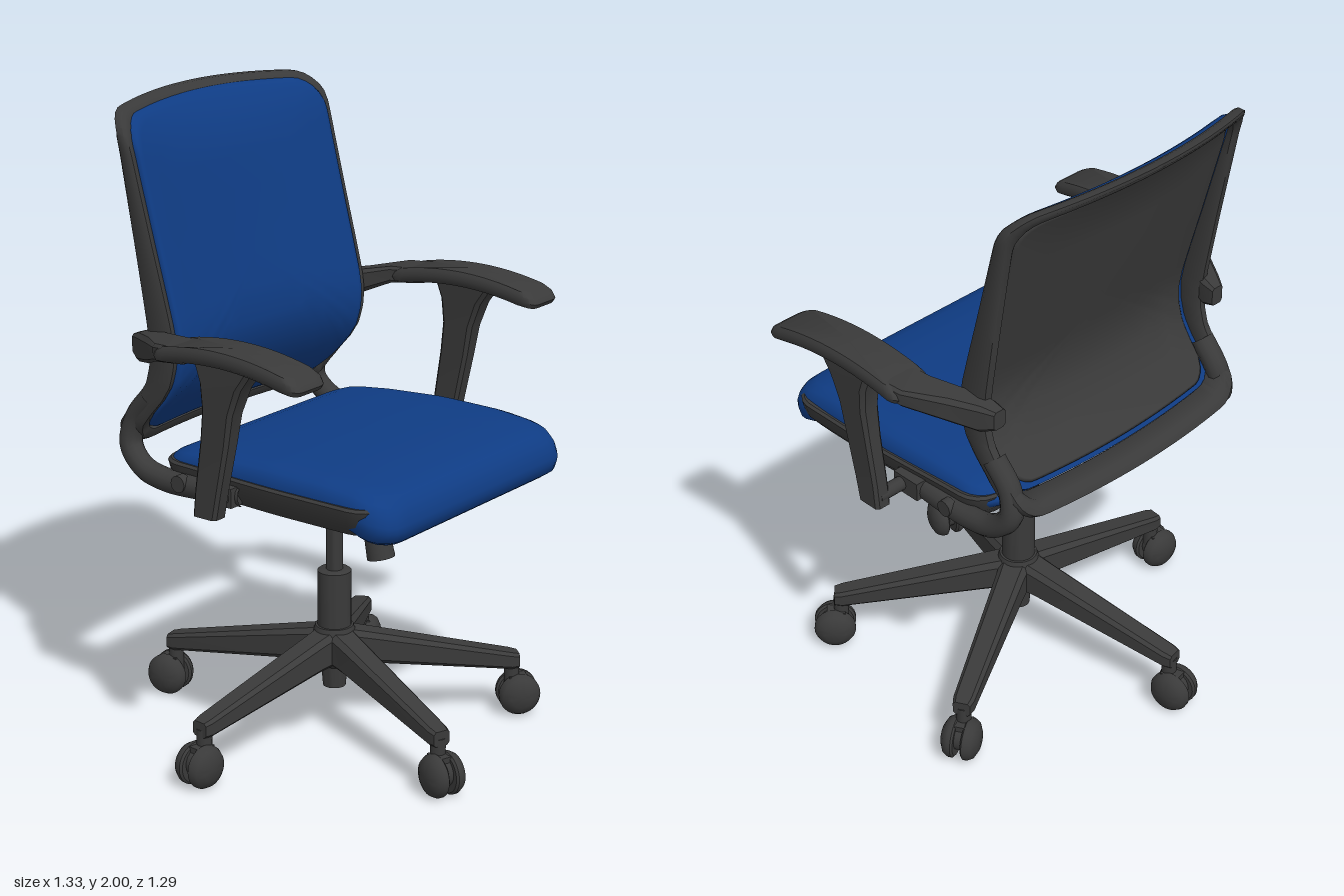
import * as THREE from 'three';
import { toCreasedNormals } from 'three/addons/utils/BufferGeometryUtils.js';

const V = (x, y, z) => new THREE.Vector3(x, y, z);
const { lerp, smoothstep } = THREE.MathUtils;

// Piecewise smooth function through [input, output] knots
function curve(knots) {
  return (t) => {
    if (t <= knots[0][0]) return knots[0][1];
    for (let i = 1; i < knots.length; i++) {
      const [a, va] = knots[i - 1], [b, vb] = knots[i];
      if (t <= b) return lerp(va, vb, (t - a) / (b - a));
    }
    return knots[knots.length - 1][1];
  };
}

// Surface through a stack of closed rings
function skin(rings, crease) {
  const n = rings[0].length, index = [];
  for (let r = 0; r < rings.length - 1; r++) {
    for (let i = 0; i < n; i++) {
      const j = (i + 1) % n, a = r * n, b = a + n;
      index.push(a + i, a + j, b + j, a + i, b + j, b + i);
    }
  }
  const g = new THREE.BufferGeometry().setFromPoints(rings.flat());
  g.setIndex(index);
  g.computeVertexNormals();
  return crease ? toCreasedNormals(g, crease) : g;
}

// Rounded rectangle outline, counter-clockwise
function outline(w, h, r, n = 120) {
  const s = new THREE.Shape();
  s.moveTo(w, 0);
  s.absarc(w - r, h - r, r, 0, Math.PI / 2);
  s.absarc(r - w, h - r, r, Math.PI / 2, Math.PI);
  s.absarc(r - w, r - h, r, Math.PI, Math.PI * 1.5);
  s.absarc(w - r, r - h, r, Math.PI * 1.5, Math.PI * 2);
  s.closePath();
  return s.getSpacedPoints(n).slice(0, n);
}

// Concentric copies of an outline, layers of [scale, height]
const pillow = (pts, layers, map, crease) =>
  skin(layers.map(([s, h]) => pts.map((p) => map(p.x * s, p.y * s, h))), crease);

// Capped bar with chamfered section, stations of [t, centreA, centreB, halfA, halfB]
function beam(stations, map) {
  const ring = ([t, ca, cb, ha, hb], k = 1) => {
    const c = Math.min(ha, hb) * 0.35;
    return [[ha, c - hb], [ha, hb - c], [ha - c, hb], [c - ha, hb], [-ha, hb - c], [-ha, c - hb], [c - ha, -hb], [ha - c, -hb]]
      .map(([a, b]) => map(ca + a * k, cb + b * k, t));
  };
  const last = stations[stations.length - 1];
  return skin([ring(stations[0], 0), ...stations.map((s) => ring(s)), ring(last, 0)], 0.6);
}

const lathe = (pts, seg = 32) =>
  toCreasedNormals(new THREE.LatheGeometry(pts.map(([r, y]) => new THREE.Vector2(r, y)), seg), 0.7);

export function createModel() {
  const model = new THREE.Group();
  const plastic = new THREE.MeshStandardMaterial({ color: 0x3a3a3a });
  plastic.name = 'charcoal plastic';
  const fabric = new THREE.MeshStandardMaterial({ color: 0x0f3c84 });
  fabric.name = 'blue fabric';
  const add = (name, geo, parent = model, mat = plastic) => {
    const m = new THREE.Mesh(geo, mat);
    m.name = name;
    parent.add(m);
    return m;
  };

  // Five-legged base with casters
  const base = new THREE.Group();
  base.name = 'base';
  model.add(base);
  add('hub', lathe([[0, 0.14], [0.036, 0.14], [0.042, 0.21], [0.065, 0.23], [0.075, 0.3], [0.06, 0.345], [0, 0.35]]), base);
  const wheel = lathe([[0, 0.012], [0.06, 0.012], [0.067, 0.018], [0.067, 0.03], [0.058, 0.046], [0.035, 0.058], [0, 0.062]]);
  wheel.rotateX(Math.PI / 2);
  for (const deg of [-101, -28.5, 42, 110, 185]) {
    const leg = new THREE.Group();
    leg.name = 'legWithCaster';
    leg.rotation.y = -THREE.MathUtils.degToRad(deg);
    base.add(leg);
    add('leg', beam([[0.02, 0, 0.282, 0.05, 0.058], [0.1, 0, 0.27, 0.046, 0.052], [0.57, 0, 0.185, 0.034, 0.028], [0.595, 0, 0.182, 0.028, 0.024]],
      (a, b, t) => V(t, b, -a)), leg);
    add('casterStem', new THREE.CylinderGeometry(0.024, 0.024, 0.09, 16), leg).position.set(0.575, 0.135, 0);
    add('casterHood', new THREE.BoxGeometry(0.06, 0.05, 0.06), leg).position.set(0.592, 0.105, 0);
    add('casterAxle', new THREE.CylinderGeometry(0.045, 0.045, 0.03, 20).rotateX(Math.PI / 2), leg).position.set(0.597, 0.075, 0);
    for (const s of [0, Math.PI]) {
      const w = add('casterWheel', wheel, leg);
      w.position.set(0.597, 0.068, 0);
      w.rotation.y = s;
    }
  }

  // Gas column
  add('column', lathe([[0.053, 0.32], [0.053, 0.525], [0.046, 0.53], [0.026, 0.53], [0.026, 0.7], [0.045, 0.7], [0.05, 0.715], [0.05, 0.78]]));

  // Tilt mechanism under the seat
  add('mechanismPlate', new THREE.BoxGeometry(0.24, 0.035, 0.34)).position.set(0, 0.825, 0.08);
  add('mechanismBox', beam([[0.745, 0, -0.05, 0.08, 0.11], [0.765, 0, -0.05, 0.1, 0.14], [0.82, 0, -0.05, 0.1, 0.14]], (a, b, t) => V(a, t, -b)));
  const knob = add('tensionKnob', new THREE.CylinderGeometry(0.036, 0.044, 0.17, 24));
  knob.position.set(0, 0.69, 0.162);
  knob.rotation.x = -0.22;
  for (const s of [1, -1]) {
    const rod = add('pivotRod', new THREE.CylinderGeometry(0.02, 0.02, 0.06, 16));
    rod.rotation.z = Math.PI / 2;
    rod.position.set(s * 0.11, 0.785, 0);
  }
  add('heightLever', beam([[0.08, -0.12, 0.775, 0.015, 0.012], [0.2, -0.13, 0.78, 0.018, 0.012], [0.24, -0.14, 0.785, 0.04, 0.016], [0.31, -0.14, 0.795, 0.04, 0.016], [0.325, -0.14, 0.797, 0.025, 0.01]],
    (a, b, t) => V(t, b, -a)));

  // Seat cushion with a rounded, dropping front edge
  const top = curve([[-0.32, 0.965], [-0.24, 0.985], [-0.1, 1.0], [0.1, 1.01], [0.3, 1.007], [0.42, 0.998], [0.5, 0.98], [0.545, 0.955]]);
  const taper = (z) => 1 - 0.05 * (1 - smoothstep(z, -0.32, 0.2));
  add('seatCushion', pillow(outline(0.475, 0.4325, 0.09),
    [[0, 0], [0.94, 0], [0.985, 0.12], [1, 0.35], [1, 0.5], [0.985, 0.7], [0.955, 0.86], [0.9, 0.95], [0.8, 0.99], [0.6, 1], [0.4, 1], [0.2, 1], [0, 1]],
    (x, y, h) => {
      const z = 0.1125 - y;
      return V(x * taper(z), lerp(0.9 - 0.06 * smoothstep(z, 0.3, 0.52), top(z), h), z);
    }), model, fabric);
  add('seatShell', pillow(outline(0.49, 0.405, 0.08),
    [[0, 0.84], [0.78, 0.843], [0.92, 0.862], [0.98, 0.9], [1, 0.945], [0.985, 0.953], [0.95, 0.95], [0.9, 0.91], [0, 0.91]],
    (x, y, h) => V(x * taper(0.095 - y), h, 0.095 - y), 0.7));

  // Backrest: side profile plus a bow that deepens into the top lip
  const side = curve([[0.96, -0.4], [1.03, -0.375], [1.08, -0.335], [1.13, -0.29], [1.18, -0.257], [1.24, -0.24], [1.3, -0.237], [1.36, -0.247], [1.6, -0.31], [1.9, -0.385], [1.95, -0.402], [2, -0.435]]);
  const depth = curve([[0.96, 0.09], [1.35, 0.095], [1.6, 0.07], [1.9, 0.045], [2, 0.04]]);
  const backMap = (cy, fixed) => (x, y0, h) => {
    const y = cy + y0, e = Math.min(1, (x / 0.475) ** 2);
    const bow = 0.042 + 0.045 * smoothstep(y, 1.86, 2);
    return V(x * (1 - 0.02 * (2 - y)), y - 0.025 * e * smoothstep(y, 1.4, 2), side(y) - bow * (1 - e) + h * (fixed || depth(y)));
  };
  add('backFrame', pillow(outline(0.478, 0.516, 0.085, 160),
    [[0.982, -1], [1, -0.8], [1, -0.2], [0.985, 0], [0.935, 0], [0.918, -0.15], [0.918, -0.85], [0.935, -1], [0.982, -1]],
    backMap(1.484), 0.9));
  const fill = [0.8, 0.6, 0.4, 0.2, 0];
  add('backCushion', pillow(outline(0.452, 0.485, 0.085, 160),
    [...fill.slice().reverse().map((s) => [s, -0.02]), [0.985, -0.02], [1, -0.008], [1, 0.004], [0.985, 0.014], [0.95, 0.018], ...fill.map((s) => [s, 0.018])],
    backMap(1.495, 1)), model, fabric);
  add('backPanel', pillow(outline(0.42, 0.455, 0.07, 160),
    [...fill.slice().reverse().map((s) => [s, -0.032]), [0.98, -0.032], [1, -0.026], [1, -0.01]],
    backMap(1.49, 1)));

  // Back supports and arms, both sides
  for (const s of [1, -1]) {
    const arm = new THREE.Group();
    arm.name = s > 0 ? 'leftArm' : 'rightArm';
    model.add(arm);
    const path = new THREE.CatmullRomCurve3([
      V(s * 0.455, 0.9, 0.02), V(s * 0.462, 0.89, -0.14), V(s * 0.462, 0.888, -0.28), V(s * 0.46, 0.91, -0.37),
      V(s * 0.45, 0.97, -0.428), V(s * 0.44, 1.05, -0.415), V(s * 0.44, 1.13, -0.35)]);
    add('backSupport', new THREE.TubeGeometry(path, 40, 0.036, 12), arm);
    const bolt = add('supportPivot', new THREE.CylinderGeometry(0.026, 0.026, 0.03, 20), arm);
    bolt.rotation.z = Math.PI / 2;
    bolt.position.set(s * 0.488, 0.9, -0.2);
    add('armFlange', new THREE.BoxGeometry(0.05, 0.06, 0.1), arm).position.set(s * 0.482, 0.9, -0.04);
    const rod = add('armBracket', new THREE.CylinderGeometry(0.022, 0.022, 0.14, 16), arm);
    rod.rotation.z = Math.PI / 2;
    rod.position.set(s * 0.53, 0.9, -0.02);
    add('armPost', beam([[0.87, s * 0.593, 0, 0.028, 0.043], [0.95, s * 0.593, -0.012, 0.028, 0.047], [1.1, s * 0.593, -0.04, 0.03, 0.052],
      [1.2, s * 0.593, -0.055, 0.034, 0.056], [1.28, s * 0.592, -0.068, 0.038, 0.075], [1.345, s * 0.59, -0.08, 0.04, 0.11]],
      (a, b, t) => V(a, t, -b)), arm);
    add('armLink', beam([[-0.39, s * 0.455, 1.295, 0.022, 0.03], [-0.35, s * 0.468, 1.295, 0.036, 0.044], [-0.27, s * 0.505, 1.31, 0.048, 0.04],
      [-0.17, s * 0.57, 1.34, 0.062, 0.027], [-0.05, s * 0.582, 1.35, 0.062, 0.022]], V), arm);
    add('armPad', pillow(outline(0.074, 0.273, 0.03, 80),
      [[0, -0.024], [0.85, -0.024], [0.97, -0.016], [1, 0], [0.97, 0.014], [0.88, 0.024], [0, 0.026]],
      (x, y, h) => {
        const z = 0.102 - y;
        return V(s * (0.579 + 0.026 * z) + x, 1.366 - 0.5 * (z - 0.08) ** 2 + h, z);
      }, 0.8), arm);
  }
  return model;
}
